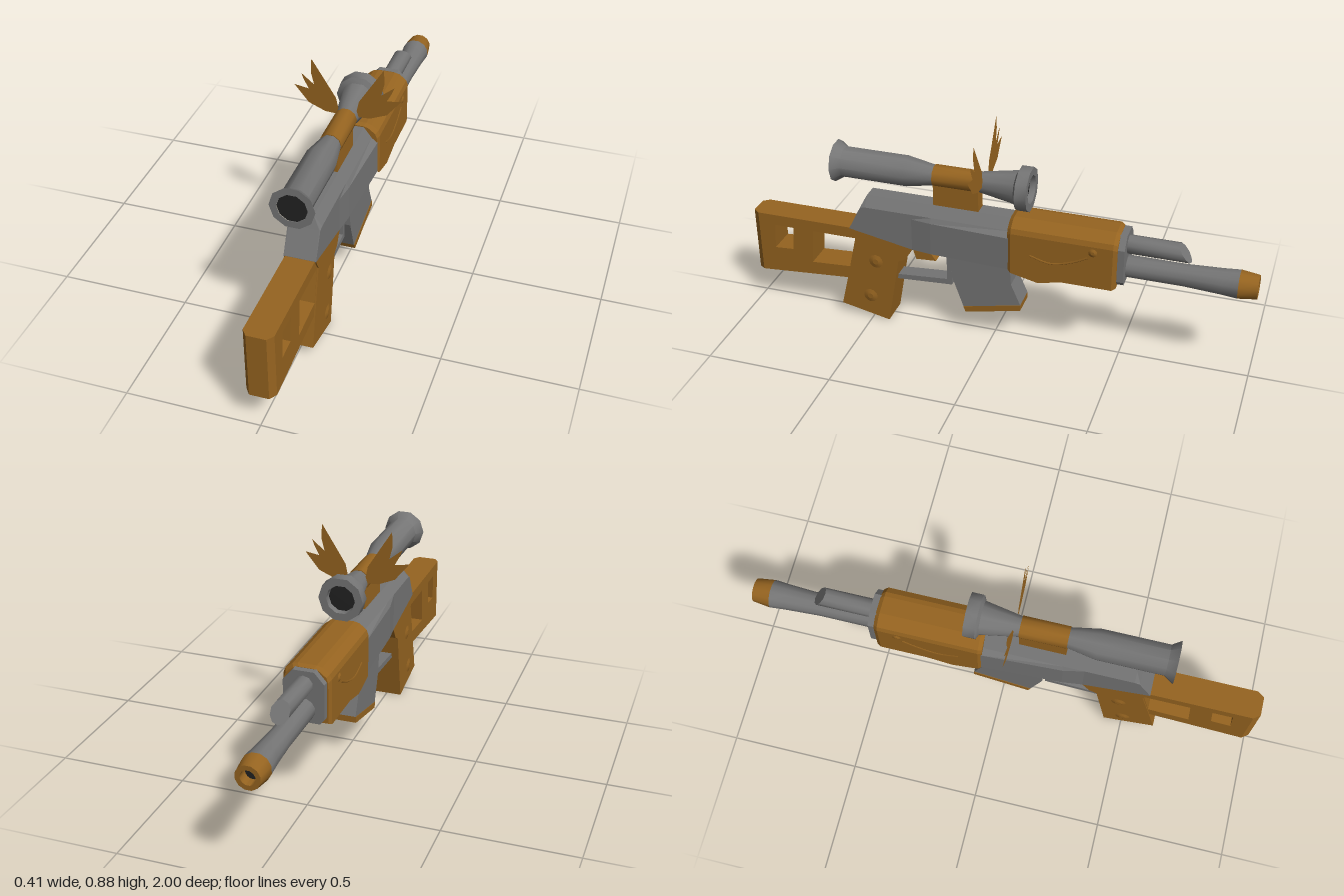
import * as THREE from 'three';
import { toCreasedNormals } from 'three/addons/utils/BufferGeometryUtils.js';

const material = (name, color, side = THREE.FrontSide) => {
  const m = new THREE.MeshStandardMaterial({ color, side, flatShading: false });
  m.name = name;
  return m;
};

export function createModel() {
  const orange = material('ochre', 0x966420, THREE.DoubleSide);
  const grey = material('gunmetal grey', 0x757575);
  const dark = material('dark glass', 0x222222);
  const model = new THREE.Group();

  const add = (name, geometry, mat) => {
    const mesh = new THREE.Mesh(geometry, mat);
    mesh.name = name;
    model.add(mesh);
    return mesh;
  };
  const path = (pts, Type = THREE.Shape) => new Type(pts.map(([a, b]) => new THREE.Vector2(a, b)));

  // Side outline in (z, y), extruded symmetrically across x
  const plate = (name, pts, width, mat, holes = []) => {
    const shape = path(pts);
    shape.holes = holes.map((h) => path(h, THREE.Path));
    const g = new THREE.ExtrudeGeometry(shape, { depth: width, bevelEnabled: false });
    return add(name, g.rotateY(-Math.PI / 2).translate(width / 2, 0, 0), mat);
  };

  // Mirrored cross-sections: [z, right-hand points from bottom to top], front to back
  const loft = (name, stations, mat) => {
    const rings = stations.map(([z, half]) => [
      ...half.map(([x, y]) => [x, y, z]),
      ...half.map(([x, y]) => [-x, y, z]).reverse(),
    ]);
    const pos = [];
    const tri = (...c) => c.forEach((p) => pos.push(...p));
    const n = rings[0].length;
    for (let s = 0; s < rings.length - 1; s++) {
      const a = rings[s], b = rings[s + 1];
      for (let i = 0; i < n; i++) {
        const j = (i + 1) % n;
        tri(a[i], b[i], b[j]);
        tri(a[i], b[j], a[j]);
      }
    }
    const first = rings[0], last = rings[rings.length - 1];
    for (let i = 1; i < n - 1; i++) {
      tri(first[0], first[i], first[i + 1]);
      tri(last[0], last[i + 1], last[i]);
    }
    const g = new THREE.BufferGeometry();
    g.setAttribute('position', new THREE.Float32BufferAttribute(pos, 3));
    g.computeVertexNormals();
    return add(name, g, mat);
  };

  // Turned part along z: profile of [radius, z] with z increasing
  const turned = (name, pts, y, mat, sides = 10) => {
    const profile = pts.map(([r, z]) => new THREE.Vector2(r, z));
    const g = new THREE.LatheGeometry(profile, sides, Math.PI / sides).rotateX(Math.PI / 2);
    return add(name, toCreasedNormals(g.translate(0, y, 0), 0.7), mat);
  };

  // Skeleton stock with a chamfered butt
  plate('stock', [[0.975, 0.4], [0.56, 0.4], [0.53, 0.39], [0.53, 0.19], [0.6, 0.166], [0.975, 0.137]],
    0.11, orange, [
      [[0.905, 0.355], [0.825, 0.355], [0.835, 0.255], [0.912, 0.25]],
      [[0.74, 0.355], [0.56, 0.355], [0.59, 0.22], [0.752, 0.21]],
    ]);
  loft('buttPlate', [
    [1, [[0.036, 0.135], [0.036, 0.4]]],
    [0.975, [[0.055, 0.137], [0.055, 0.4]]],
  ], orange);

  // Pistol grip, trigger and guard
  plate('grip', [[0.58, 0.4], [0.32, 0.35], [0.35, 0.3], [0.38, 0.285], [0.43, 0], [0.63, 0.043],
    [0.588, 0.22], [0.555, 0.355]], 0.12, orange);
  plate('trigger', [[0.34, 0.35], [0.28, 0.35], [0.238, 0.29], [0.32, 0.285]], 0.04, orange);
  plate('triggerGuard', [[0.41, 0.185], [0.17, 0.2], [0.17, 0.36], [0.19, 0.36], [0.19, 0.222], [0.41, 0.205]],
    0.06, grey);

  // Receiver: slanted rear, chamfered top, sides swelling forward
  const receiver = (z, yb, w, ym, wt, yt) => [z, [[w, yb], [w, Math.max(yb, ym - 0.02)], [0.06, ym], [wt, yt]]];
  loft('receiver', [
    receiver(0.58, 0.399, 0.06, 0.4, 0.06, 0.401),
    receiver(0.53, 0.39, 0.06, 0.5, 0.055, 0.502),
    receiver(0.51, 0.386, 0.06, 0.505, 0.03, 0.545),
    receiver(0.32, 0.35, 0.06, 0.505, 0.03, 0.545),
    receiver(0.24, 0.35, 0.07, 0.505, 0.03, 0.545),
    receiver(-0.09, 0.35, 0.085, 0.505, 0.03, 0.545),
  ], grey);

  // Magazine with floor plate
  plate('magazine', [[0.165, 0.36], [-0.07, 0.36], [-0.077, 0.26], [-0.115, 0.172], [0.117, 0.122], [0.162, 0.25]],
    0.1, grey);
  plate('magazineFloor', [[0.117, 0.122], [-0.115, 0.172], [-0.115, 0.147], [0.108, 0.1]], 0.104, orange);

  // Handguard with a belly and bevelled ends
  const guard = (z, yb, inset = 0) => [z, [
    [0.09 - inset, yb + inset], [0.09 - inset, 0.51 - inset], [0.083 - inset, 0.53 - inset],
    [0.055 - inset, 0.552 - inset], [0.035 - inset, 0.557 - inset],
  ]];
  loft('handguard', [
    guard(-0.07, 0.345, 0.008), guard(-0.085, 0.34), guard(-0.19, 0.316),
    guard(-0.29, 0.336), guard(-0.475, 0.336), guard(-0.49, 0.336, 0.008),
  ], orange);
  const collar = [[0.06, 0.35], [0.077, 0.37], [0.077, 0.505], [0.04, 0.548]];
  loft('frontCollar', [[-0.485, collar], [-0.515, collar]], grey);

  // Barrel, muzzle and gas tube with a sloped nose
  turned('barrel', [[0.055, -0.93], [0.05, -0.87], [0.043, -0.73], [0.043, -0.5]], 0.4, grey, 12);
  turned('muzzle', [[0.026, -0.96], [0.028, -1], [0.046, -1], [0.055, -0.93]], 0.4, orange, 12);
  turned('bore', [[0, -0.962], [0.027, -0.961]], 0.4, dark, 12);
  const tube = new THREE.CylinderGeometry(0.036, 0.036, 0.2, 10, 1).rotateX(Math.PI / 2).translate(0, 0.495, -0.6);
  const p = tube.attributes.position;
  for (let i = 0; i < p.count; i++) {
    if (p.getZ(i) < -0.6) p.setZ(i, -0.7 - (0.531 - p.getY(i)) * 0.7);
  }
  add('gasTube', toCreasedNormals(tube, 0.7), grey);

  // Telescopic sight with recessed lenses
  const scopeY = 0.66;
  turned('scope', [[0.053, -0.115], [0.056, -0.14], [0.086, -0.14], [0.086, -0.095], [0.066, -0.085],
    [0.04, 0.06], [0.04, 0.24], [0.06, 0.35], [0.06, 0.605], [0.083, 0.64], [0.056, 0.64]], scopeY, grey);
  turned('eyepieceBore', [[0.055, 0.615], [0.056, 0.64]], scopeY, orange).material = grey;
  turned('objectiveLens', [[0, -0.118], [0.054, -0.117]], scopeY, dark);
  turned('eyepieceLens', [[0.056, 0.637], [0, 0.638]], scopeY, dark);

  // Scope mount
  turned('scopeClamp', [[0.03, 0.06], [0.043, 0.06], [0.043, 0.24], [0.03, 0.24]], scopeY, orange);
  add('scopeMount', new THREE.BoxGeometry(0.054, 0.13, 0.18).translate(0, 0.6, 0.15), orange);

  // Mirrored details
  for (const s of [1, -1]) {
    const wing = path([[0.03, 0.66], [0.086, 0.663], [0.15, 0.69], [0.205, 0.758], [0.149, 0.749],
      [0.168, 0.785], [0.177, 0.81], [0.128, 0.77], [0.14, 0.82], [0.137, 0.877], [0.1, 0.818],
      [0.044, 0.728]].map(([x, y]) => [x * s, y]));
    add(s > 0 ? 'leftWing' : 'rightWing', new THREE.ShapeGeometry(wing).translate(0, 0, 0.04), orange);

    // Domed studs: x, y, z, radius
    for (const [x, y, z, r] of [[0.074, 0.275, 0.47, 0.029], [0.074, 0.11, 0.5, 0.029], [0.092, 0.485, -0.4, 0.018]]) {
      const stud = new THREE.CylinderGeometry(r * 0.4, r, 0.005, 12).rotateZ(-s * Math.PI / 2);
      add('stud', stud.translate(s * x, y, z), orange);
    }

    // Wavy grain ridge on the handguard
    const grain = new THREE.CatmullRomCurve3([[0.43, -0.16], [0.41, -0.24], [0.43, -0.32], [0.46, -0.38]]
      .map(([y, z]) => new THREE.Vector3(s * 0.09, y, z)));
    add('grainRidge', new THREE.TubeGeometry(grain, 12, 0.004, 4), orange);
  }

  return model;
}
